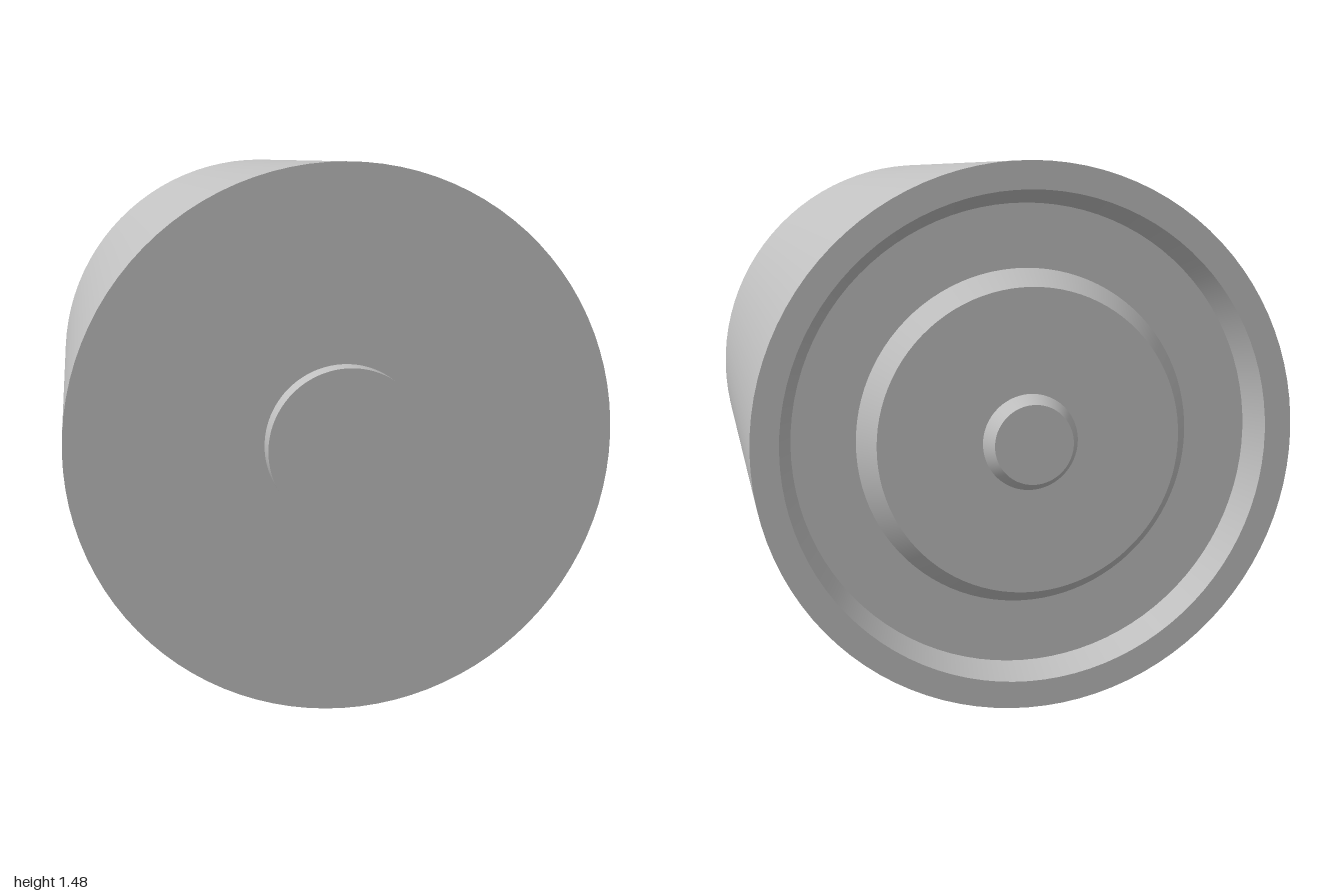
import * as THREE from 'three';
import { mergeGeometries } from 'three/addons/utils/BufferGeometryUtils.js';

const SEGMENTS = 96;
const R = 0.74;        // drum radius
const H = 0.8545;      // half the drum length
const DEPTH = 0.073;   // depth of the rear recess

// Revolve a profile of [radius, z] points, running from back to front,
// with a sharp crease at every point and smooth shading around.
function revolve(profile) {
  const pieces = [];
  for (let i = 0; i < profile.length - 1; i++) {
    const points = [profile[i], profile[i + 1]].map(([r, z]) => new THREE.Vector2(r, z));
    pieces.push(new THREE.LatheGeometry(points, SEGMENTS));
  }
  return mergeGeometries(pieces).rotateX(Math.PI / 2);
}

export function createModel() {
  const grey = new THREE.MeshStandardMaterial({ color: 0xc0c0c0 });
  grey.name = 'plain grey';

  const drum = new THREE.Group();
  drum.name = 'drum';

  const addPart = (name, profile) => {
    const mesh = new THREE.Mesh(revolve(profile), grey);
    mesh.name = name;
    drum.add(mesh);
  };

  // Body: recess floor, sloping recess wall, rear rim, side and front face
  addPart('body', [
    [0.458, -H + DEPTH], [0.63, -H + DEPTH], [0.665, -H],
    [R, -H], [R, H], [0.214, H],
  ]);

  // Bevelled disc in the recess, level with the rim
  addPart('rearDisc', [[0.13, -H], [0.413, -H], [0.458, -H + DEPTH]]);

  // Small tapered pin in the middle of the disc
  addPart('rearPin', [[0, -H - 0.042], [0.107, -H - 0.042], [0.13, -H]]);

  // Round knob on the front
  addPart('frontKnob', [[0.214, H], [0.214, H + 0.074], [0, H + 0.074]]);

  // The drum lies on its side, turned slightly
  drum.position.y = R;
  drum.rotation.y = -0.2265;

  const model = new THREE.Group();
  model.name = 'model';
  model.add(drum);
  return model;
}
